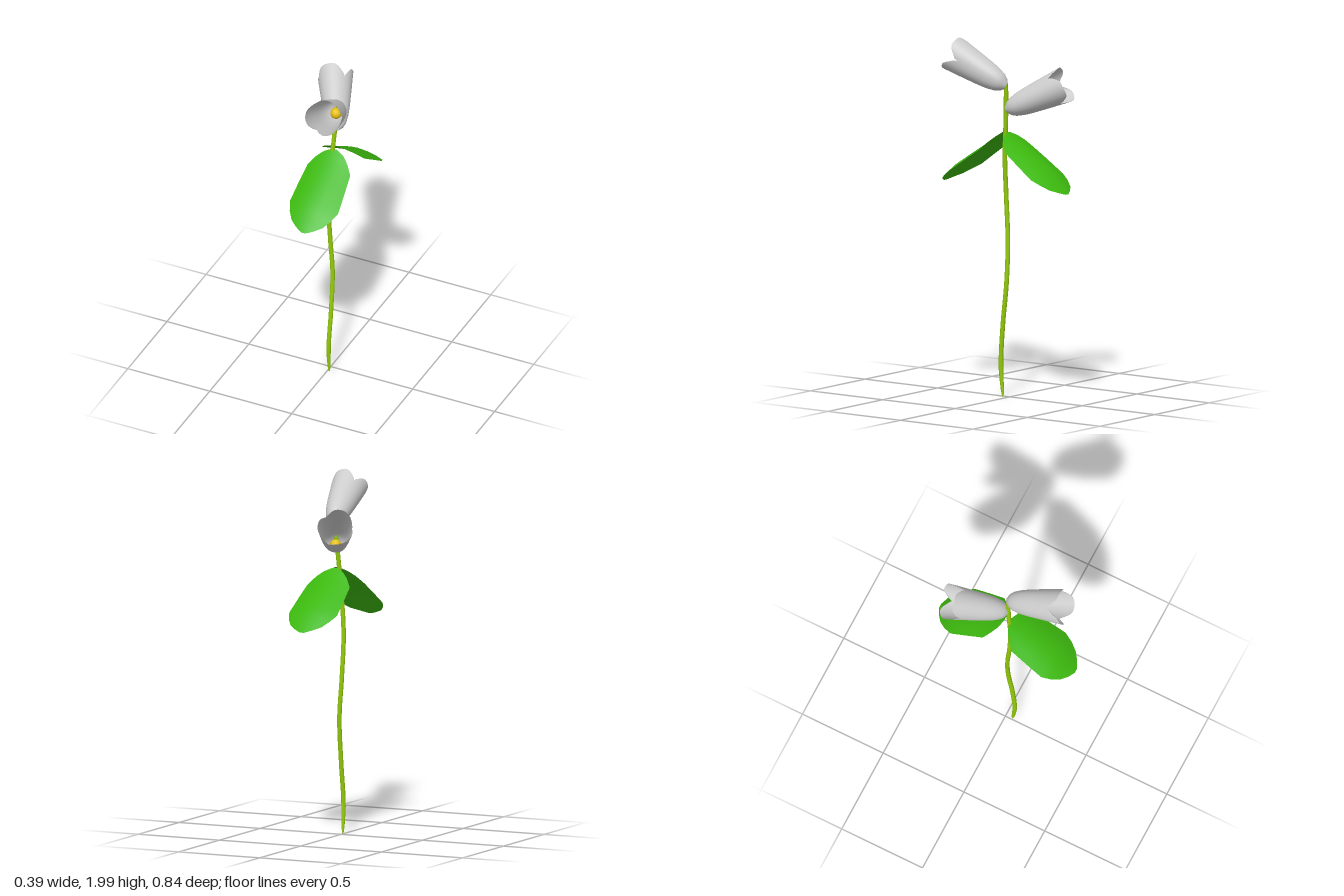
import * as THREE from 'three';

const material = (color) => new THREE.MeshStandardMaterial({ color, side: THREE.DoubleSide });
const lerpTable = (rows, t) => {
  // linear lookup in rows of [t, value]
  for (let i = 1; i < rows.length; i++) {
    const [a, va] = rows[i - 1], [b, vb] = rows[i];
    if (t <= b) return va + (vb - va) * (t - a) / (b - a);
  }
  return rows[rows.length - 1][1];
};

// Reshapes a flat grid: rule(u in -1..1, v in 0..1) gives each point
function sheet(nu, nv, rule) {
  const geo = new THREE.PlaneGeometry(2, 1, nu, nv);
  const pos = geo.attributes.position;
  for (let i = 0; i < pos.count; i++) {
    pos.setXYZ(i, ...rule(pos.getX(i), pos.getY(i) + 0.5));
  }
  geo.computeVertexNormals();
  return geo;
}

// Gently waving stem that narrows at its foot
function makeStem() {
  const curve = new THREE.CatmullRomCurve3([
    [0.01, 0.005, 0.04], [0.012, 0.18, 0.052], [0.018, 0.4, 0.035], [0.016, 0.65, 0.01],
    [0.002, 0.88, 0.012], [-0.002, 1.12, 0.026], [0.012, 1.35, 0.025],
    [0.025, 1.57, 0.008], [0.04, 1.76, -0.005],
  ].map((p) => new THREE.Vector3(...p)));
  const rings = 48, sides = 8;
  const geo = new THREE.TubeGeometry(curve, rings, 1, sides);
  const pos = geo.attributes.position, p = new THREE.Vector3();
  const radius = [[0, 0.004], [0.02, 0.009], [0.08, 0.013], [0.97, 0.013], [1, 0.009]];
  for (let i = 0; i < pos.count; i++) {
    const t = Math.floor(i / (sides + 1)) / rings;
    const c = curve.getPointAt(t);
    p.fromBufferAttribute(pos, i).sub(c).multiplyScalar(lerpTable(radius, t)).add(c);
    pos.setXYZ(i, p.x, p.y, p.z);
  }
  const stem = new THREE.Mesh(geo, material(0x94cc0a));
  stem.name = 'stem';
  return stem;
}

// Broad drooping leaf: rows of [z, y of midrib, half width]
function makeLeafGeometry() {
  const rows = [
    [0.015, 1.488, 0.015], [0.03, 1.475, 0.06], [0.055, 1.458, 0.095], [0.09, 1.432, 0.13],
    [0.18, 1.375, 0.139], [0.28, 1.31, 0.147], [0.33, 1.268, 0.125], [0.37, 1.228, 0.095],
    [0.4, 1.2, 0.055], [0.42, 1.18, 0.012],
  ];
  const n = rows.length - 1;
  return sheet(6, n, (u, v) => {
    const [z, y, w] = rows[Math.round((1 - v) * n)];
    return [u * w, y - 0.045 * (w / 0.147) ** 2 * u * u, z];
  });
}

// One petal: a curved shell wrapped around the flower's z axis
function makePetalGeometry() {
  const radius = [[0, 0.016], [0.04, 0.036], [0.12, 0.054], [0.25, 0.068], [0.4, 0.077],
    [0.7, 0.09], [1, 0.102]];
  const spread = 1.08;
  return sheet(12, 16, (u, v) => {
    const s = v * (1 - 0.1 * Math.abs(u) ** 4);
    const narrowing = 1 - 0.3 * Math.max(0, (v - 0.82) / 0.18) ** 3;
    const a = u * spread * narrowing;
    const r = lerpTable(radius, s) * (1 - 0.04 * Math.abs(u));
    return [-Math.sin(a) * r, Math.cos(a) * r, s * 0.37];
  });
}

// Three-petalled flower facing from its base to a target point
function makeFlower(name, base, target, petalGeo) {
  const flower = new THREE.Group();
  flower.name = name;
  const petalMat = material(0xcccccc);
  [-25, 95, 213].forEach((deg, i) => {
    const petal = new THREE.Mesh(petalGeo, petalMat);
    petal.name = `petal${i + 1}`;
    petal.rotation.z = THREE.MathUtils.degToRad(deg);
    flower.add(petal);
  });
  const heart = new THREE.Mesh(new THREE.SphereGeometry(0.032, 12, 8), material(0xe8c010));
  heart.name = 'flowerHeart';
  heart.position.set(0, -0.014, 0.06);
  flower.add(heart);
  flower.position.set(...base);
  flower.lookAt(...target);
  return flower;
}

export function createModel() {
  const model = new THREE.Group();
  model.name = 'flowerSprig';
  model.add(makeStem());

  const leafGeo = makeLeafGeometry(), leafMat = material(0x3cb80e);
  ['frontLeaf', 'backLeaf'].forEach((name, i) => {
    const leaf = new THREE.Mesh(leafGeo, leafMat);
    leaf.name = name;
    leaf.position.x = 0.032;
    leaf.rotation.y = i * Math.PI;
    model.add(leaf);
  });

  const petalGeo = makePetalGeometry();
  model.add(makeFlower('frontFlower', [0.045, 1.745, -0.01], [0.103, 1.906, 0.31], petalGeo));
  model.add(makeFlower('backFlower', [0.035, 1.61, 0], [-0.117, 1.762, -0.298], petalGeo));
  return model;
}
